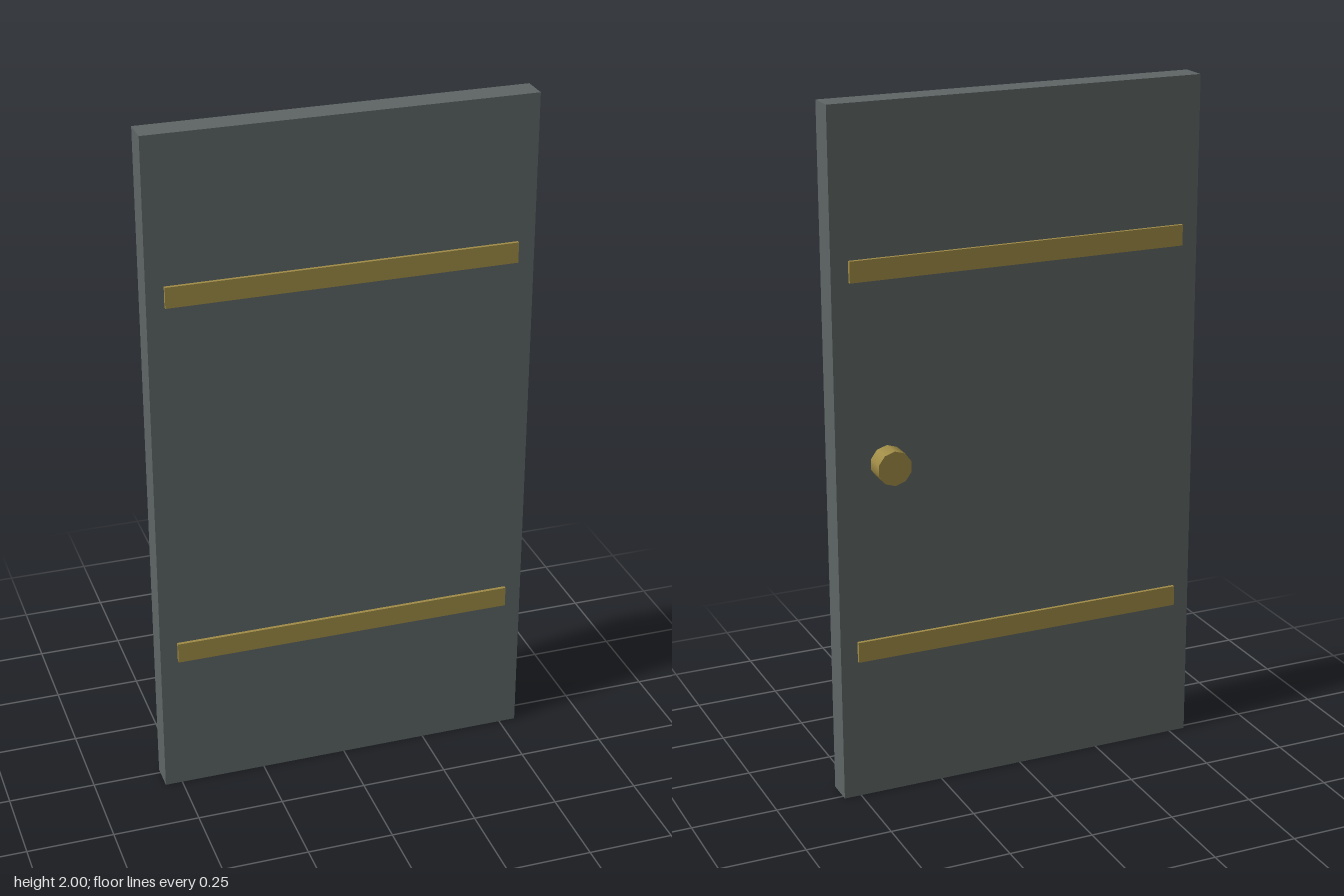
import * as THREE from 'three';

export function createModel() {
  const model = new THREE.Group();
  model.name = 'door';

  const slate = new THREE.MeshStandardMaterial({ color: 0x5e6665 });
  slate.name = 'slate grey';
  const brass = new THREE.MeshStandardMaterial({ color: 0xa08c46 });
  brass.name = 'brass';

  const add = (name, geometry, material, x, y, z) => {
    const mesh = new THREE.Mesh(geometry, material);
    mesh.name = name;
    mesh.position.set(x, y, z);
    model.add(mesh);
    return mesh;
  };

  // Door slab
  add('doorPanel', new THREE.BoxGeometry(1.1, 2, 0.08), slate, 0, 1, 0.025);

  // Bands running through the slab, proud on both faces
  const band = new THREE.BoxGeometry(1, 0.06, 0.1);
  add('lowerBand', band, brass, 0, 0.45, 0.025);
  add('upperBand', band, brass, 0, 1.55, 0.025);

  // Round knob on the back face
  const knob = new THREE.CylinderGeometry(0.05, 0.05, 0.06, 10).rotateX(Math.PI / 2);
  add('knob', knob, brass, 0.4, 1, -0.045);

  return model;
}
